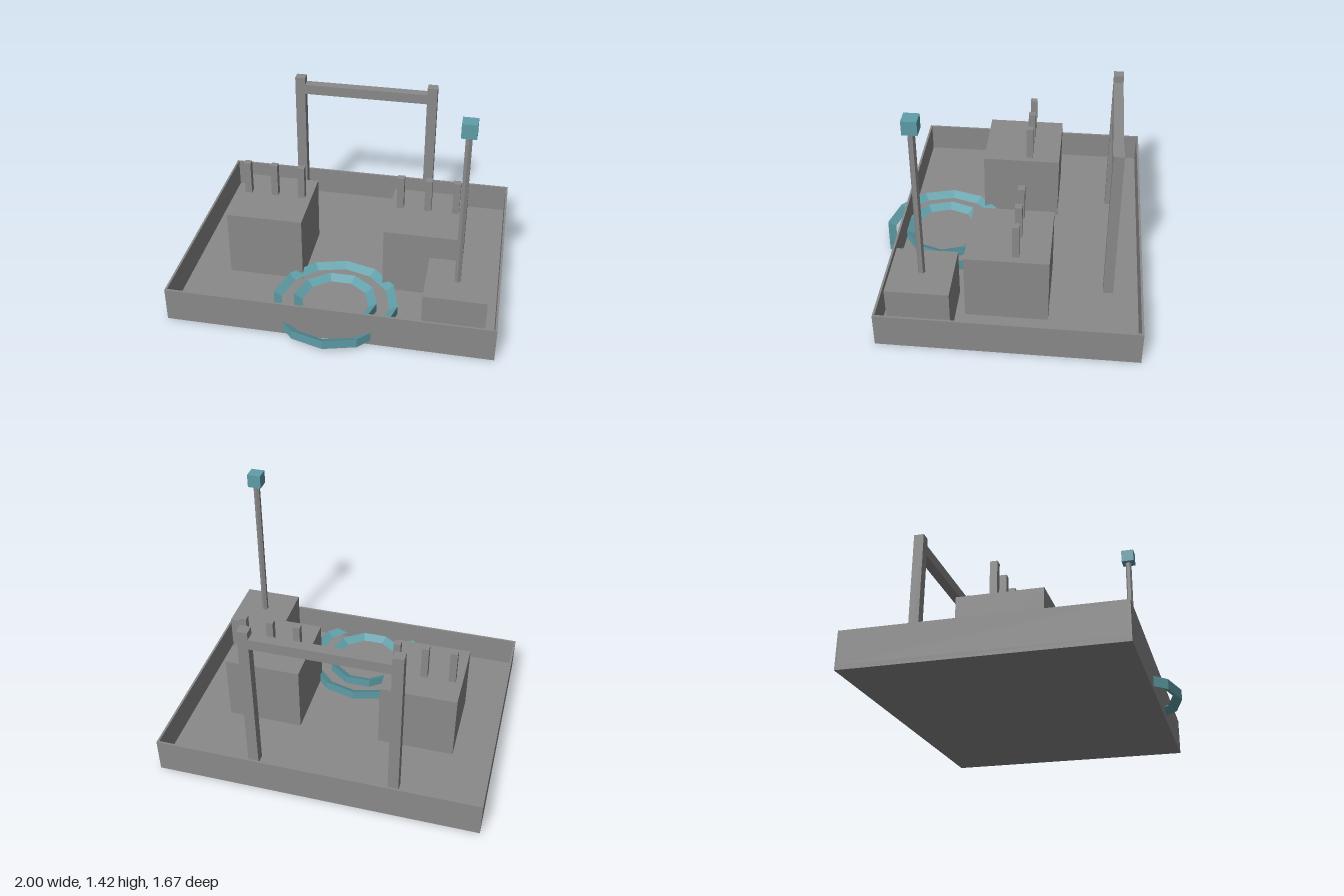
import * as THREE from 'three';

export function createModel() {
  const model = new THREE.Group();
  const grey = new THREE.MeshStandardMaterial({ name: 'concrete grey', color: 0x8a8a8a, flatShading: true });
  const teal = new THREE.MeshStandardMaterial({ name: 'teal', color: 0x5f9ea8, flatShading: true });

  const add = (name, geometry, material, x, y, z) => {
    const mesh = new THREE.Mesh(geometry, material);
    mesh.name = name;
    mesh.position.set(x, y, z);
    model.add(mesh);
    return mesh;
  };
  // Box given by its extents along each axis
  const box = (name, [x0, x1], [y0, y1], [z0, z1], material = grey) =>
    add(name, new THREE.BoxGeometry(x1 - x0, y1 - y0, z1 - z0), material,
      (x0 + x1) / 2, (y0 + y1) / 2, (z0 + z1) / 2);

  const floor = 0.03, rim = 0.222, wall = 0.013;
  const back = -0.84, front = 0.71;

  // Tray: base slab and four thin walls
  box('trayFloor', [-1, 1], [0, floor], [back, front]);
  box('backWall', [-1, 1], [floor, rim], [back, back + wall]);
  box('frontWall', [-1, 1], [floor, rim], [front - wall, front]);

  for (const [side, s] of [['left', 1], ['right', -1]]) {
    const span = (a, b) => (s > 0 ? [a, b] : [-b, -a]);
    box(side + 'Wall', span(1 - wall, 1), [floor, rim], [back + wall, front - wall]);

    // Equipment block with a row of three pins
    box(side + 'Block', span(0.26, 0.742), [floor, 0.47], [-0.288, 0.212]);
    for (const dx of [-0.177, 0, 0.177]) {
      const x = 0.5 + dx;
      box(side + 'Pin', span(x - 0.022, x + 0.022), [0.47, 0.69], [-0.11, -0.067]);
    }

    // Gantry post
    box(side + 'Post', span(0.412, 0.478), [floor, 1.06], [-0.675, -0.612]);
  }
  box('gantryBeam', [-0.412, 0.412], [0.945, 1.012], [-0.675, -0.612]);

  // Rings of triangular section: upright outside, sloping to an inner edge
  const ring = (name, radius, sides, turn) => {
    const profile = [[radius, 0.03], [radius, 0.09], [radius - 0.052, 0.06], [radius, 0.03]]
      .map(([r, y]) => new THREE.Vector2(r, y));
    add(name, new THREE.LatheGeometry(profile, sides), teal, 0, 0, 0.443).rotation.y = turn;
  };
  ring('outerRing', 0.392, 12, 0);
  ring('innerRing', 0.261, 10, Math.PI / 2);

  // Beacon on its pedestal
  const bx = 0.743, bz = 0.457;
  box('beaconPedestal', [bx - 0.187, bx + 0.187], [floor, 0.357], [bz - 0.187, bz + 0.187]);
  add('beaconPole', new THREE.CylinderGeometry(0.021, 0.021, 0.983, 6), grey, bx, 0.8485, bz);
  box('beaconLamp', [bx - 0.043, bx + 0.043], [1.338, 1.424], [bz - 0.043, bz + 0.043], teal);

  return model;
}
